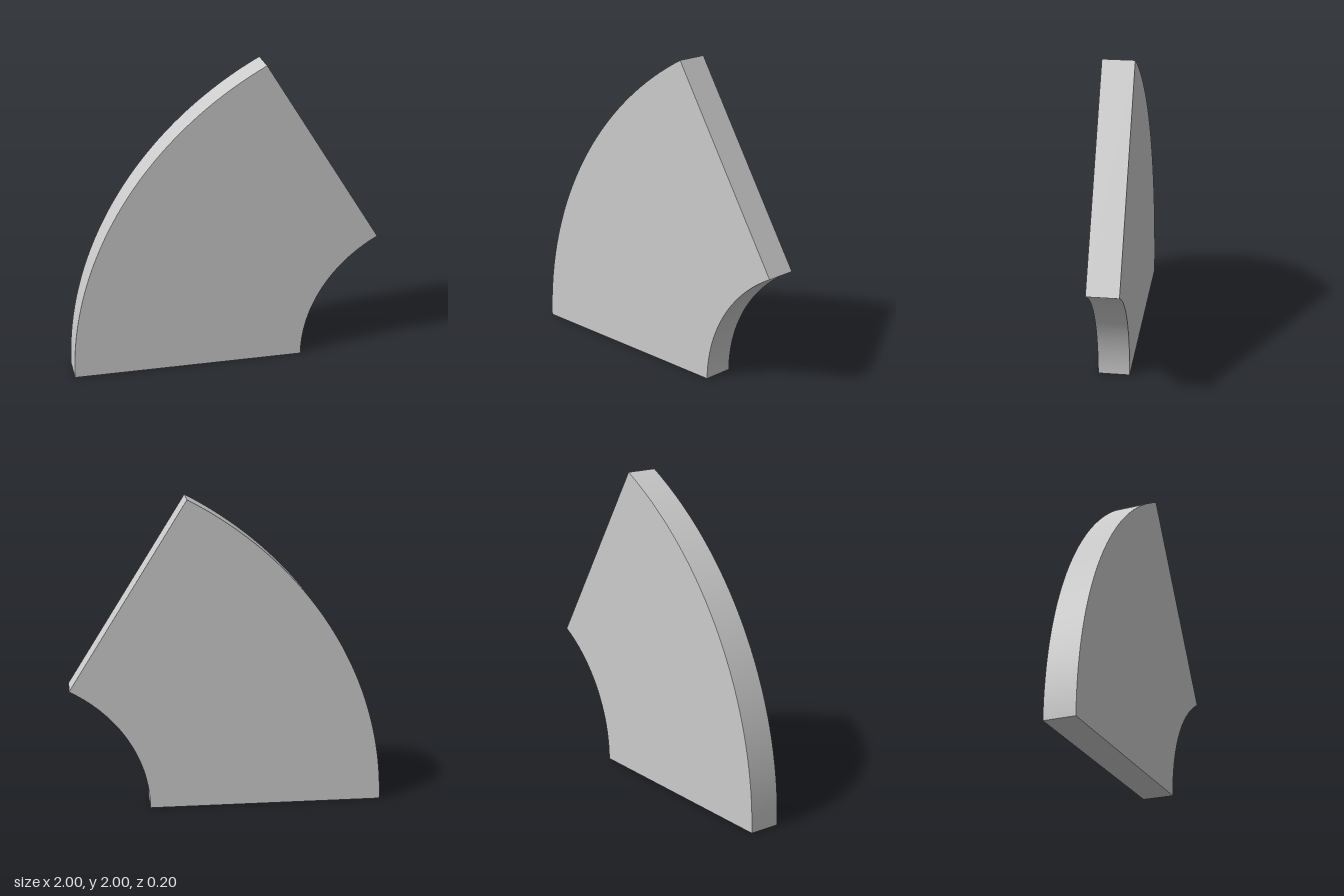
import * as THREE from 'three';
import { toCreasedNormals } from 'three/addons/utils/BufferGeometryUtils.js';

export function createModel() {
  const group = new THREE.Group();
  group.name = 'curvedWedge';

  // 60 degree ring sector, slightly squashed in height
  const centreX = 1.5, outer = 2.5, inner = 1, depth = 0.2;
  const squash = 2 / (outer * Math.sin(Math.PI / 3));
  const start = Math.PI, end = Math.PI * 2 / 3;

  const sector = new THREE.Shape();
  sector.absellipse(centreX, 0, outer, outer * squash, start, end, true);
  sector.absellipse(centreX, 0, inner, inner * squash, end, start, false);
  sector.closePath();

  // Flat slab with smooth curved rims and sharp edges
  const slab = new THREE.ExtrudeGeometry(sector, { depth, bevelEnabled: false, curveSegments: 48 });
  slab.translate(0, 0, -depth / 2);

  const mesh = new THREE.Mesh(
    toCreasedNormals(slab, 0.5),
    new THREE.MeshStandardMaterial({ color: 0xcccccc })
  );
  mesh.name = 'ringSector';
  group.add(mesh);
  return group;
}
